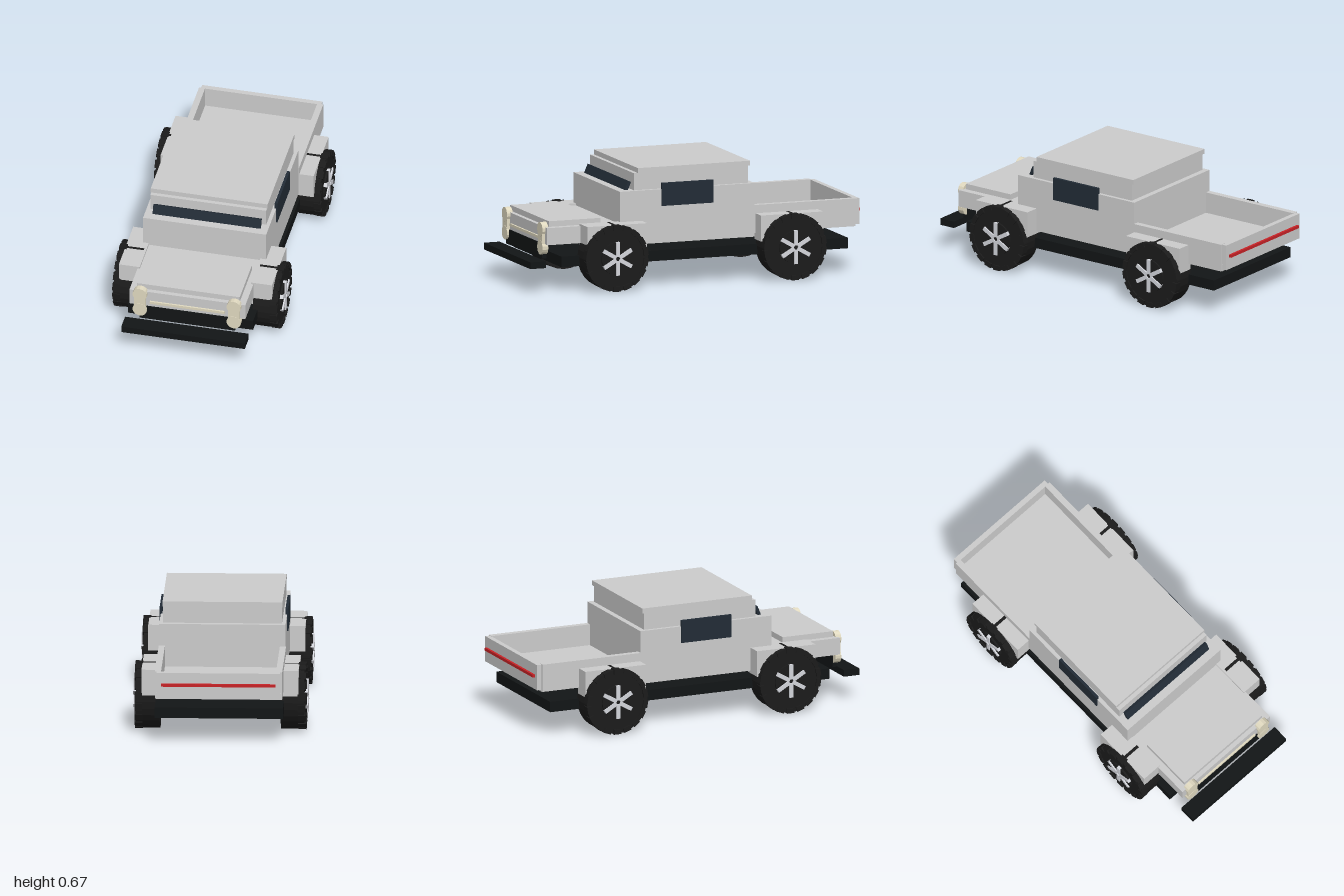
import * as THREE from 'three';

const mat = (color) => new THREE.MeshStandardMaterial({ color, flatShading: true });

export function createModel() {
  const model = new THREE.Group();
  const grey = mat(0xcccccc), rubber = mat(0x1b1b1b), frame = mat(0x121516);
  const glass = mat(0x222c36), cream = mat(0xe0d9c0), red = mat(0xc82226), alloy = mat(0xd4d6dc);

  // box given by its min/max on each axis
  function box(name, material, [x0, x1], [y0, y1], [z0, z1], parent = model) {
    const mesh = new THREE.Mesh(new THREE.BoxGeometry(x1 - x0, y1 - y0, z1 - z0), material);
    mesh.position.set((x0 + x1) / 2, (y0 + y1) / 2, (z0 + z1) / 2);
    mesh.name = name;
    parent.add(mesh);
    return mesh;
  }
  const wide = (w) => [-w, w];

  // chassis and front bumper
  box('chassis', frame, wide(0.36), [0.14, 0.2], [-0.91, 0.815]);
  box('frontBumper', frame, wide(0.355), [0.14, 0.178], [0.905, 1]);

  // cab and stepped roof
  box('cab', grey, wide(0.354), [0.24, 0.545], [-0.35, 0.46]);
  box('roofBase', grey, wide(0.333), [0.545, 0.642], [-0.318, 0.368]);
  box('roofPanel', grey, wide(0.336), [0.642, 0.67], [-0.33, 0.345]);

  // tilted windscreen
  const screen = box('windscreen', glass, wide(0.31), [0.54, 0.595], [0.386, 0.404]);
  screen.rotation.x = -0.4;

  // bonnet and grille
  box('engineBay', grey, wide(0.333), [0.265, 0.362], [0.46, 0.89]);
  box('bonnet', grey, wide(0.295), [0.362, 0.394], [0.555, 0.865]);
  box('grille', frame, wide(0.275), [0.18, 0.265], [0.87, 0.897]);
  box('grilleBar', cream, wide(0.215), [0.288, 0.303], [0.885, 0.9]);

  // open cargo bed
  box('bedFloor', grey, wide(0.35), [0.262, 0.3], [-0.96, -0.35]);
  box('tailgate', grey, wide(0.346), [0.272, 0.418], [-0.985, -0.955]);
  box('tailLight', red, wide(0.32), [0.342, 0.358], [-1, -0.985]);

  // wheel along the x axis, outer face towards +x
  function makeWheel() {
    const wheel = new THREE.Group();
    const drum = (name, material, r, x0, x1) => {
      const geo = new THREE.CylinderGeometry(r, r, x1 - x0, 28).rotateZ(Math.PI / 2);
      const mesh = new THREE.Mesh(geo, material);
      mesh.position.x = (x0 + x1) / 2;
      mesh.name = name;
      wheel.add(mesh);
    };
    drum('tyre', rubber, 0.186, -0.067, 0.066);
    drum('rimDisc', rubber, 0.095, 0.066, 0.077);
    // tread blocks around the shoulders
    for (let i = 0; i < 18; i++) {
      const pivot = new THREE.Group();
      pivot.rotation.x = (i / 18) * Math.PI * 2;
      box('treadBlock', rubber, [0.03, 0.074], [0.16, 0.188], wide(0.022), pivot);
      wheel.add(pivot);
    }
    // six spokes
    for (let i = 0; i < 6; i++) {
      const pivot = new THREE.Group();
      pivot.rotation.x = (i / 6) * Math.PI * 2;
      box('spoke', alloy, [0.064, 0.085], [0.012, 0.095], wide(0.0115), pivot);
      wheel.add(pivot);
    }
    return wheel;
  }

  for (const side of [1, -1]) {
    const label = side > 0 ? 'left' : 'right';
    const span = (a, b) => (side > 0 ? [a, b] : [-b, -a]);

    box(label + 'Window', glass, span(0.345, 0.361), [0.45, 0.58], [-0.1, 0.21]);
    box(label + 'BedWall', grey, span(0.322, 0.357), [0.262, 0.42], [-0.957, -0.35]);
    box(label + 'FrontFender', grey, span(0.32, 0.44), [0.225, 0.373], [0.33, 0.69]);
    box(label + 'RearFender', grey, span(0.34, 0.44), [0.225, 0.373], [-0.73, -0.355]);

    // twin-lamp headlight joined by a narrow waist
    const light = new THREE.Group();
    light.name = label + 'Headlight';
    for (const y of [0.348, 0.245]) {
      const lamp = new THREE.Mesh(
        new THREE.CylinderGeometry(0.041, 0.041, 0.035, 14).rotateX(Math.PI / 2), cream);
      lamp.position.set(side * 0.27, y, 0.892);
      lamp.name = 'lamp';
      light.add(lamp);
    }
    box('lampWaist', cream, span(0.237, 0.303), [0.25, 0.345], [0.875, 0.908], light);
    model.add(light);

    for (const [name, x, z] of [['FrontWheel', 0.4, 0.522], ['RearWheel', 0.406, -0.548]]) {
      const wheel = makeWheel();
      wheel.name = label + name;
      wheel.position.set(side * x, 0.188, z);
      if (side < 0) wheel.rotation.y = Math.PI;
      model.add(wheel);
    }
  }
  return model;
}
